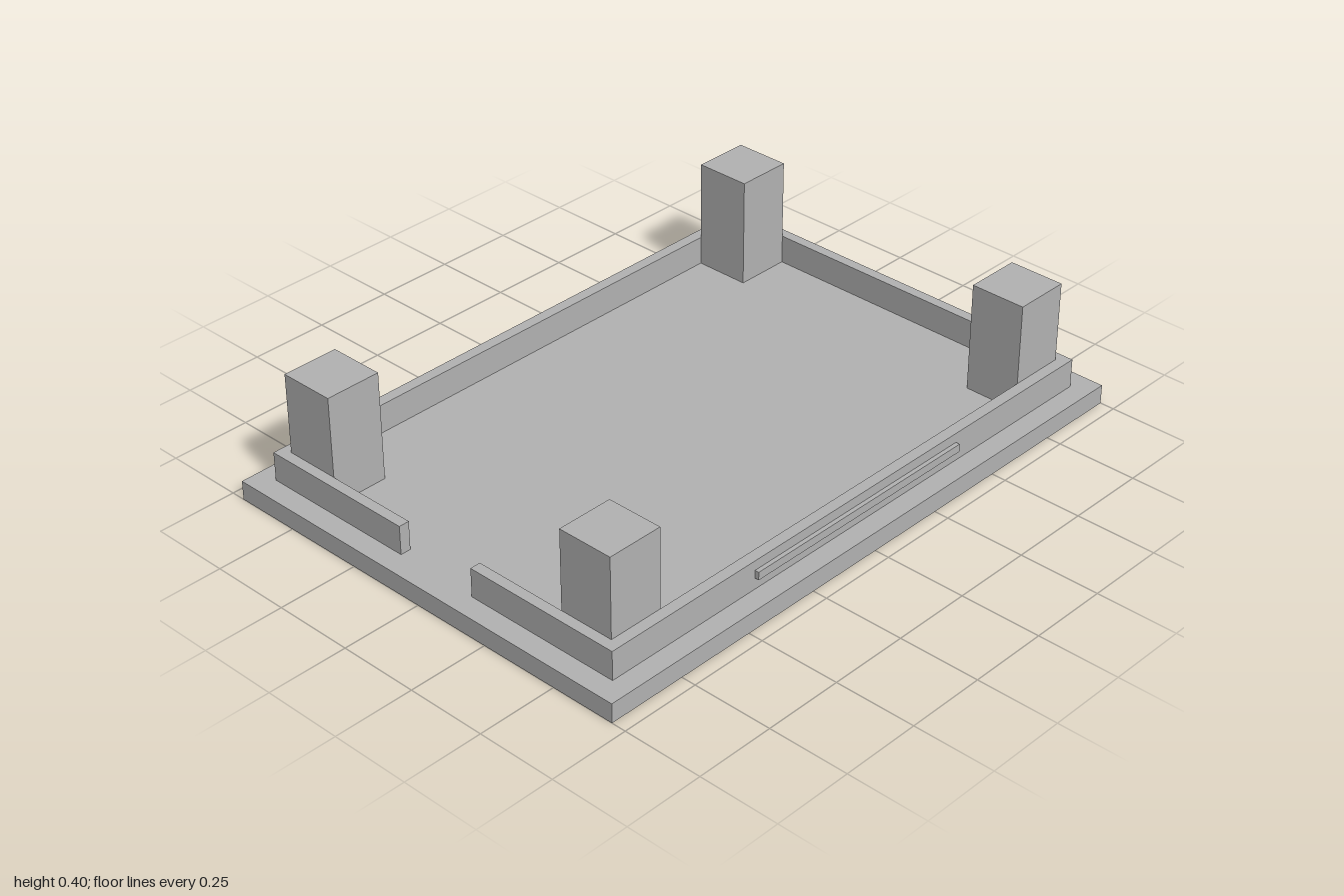
import * as THREE from 'three';

export function createModel() {
  const model = new THREE.Group();
  model.name = 'walledPlatform';
  const stone = new THREE.MeshStandardMaterial({ color: 0xb2b2b2 });
  stone.name = 'stone grey';

  // Box given by its minimum and maximum on each axis
  function block(name, [x0, x1], [y0, y1], [z0, z1]) {
    const mesh = new THREE.Mesh(new THREE.BoxGeometry(x1 - x0, y1 - y0, z1 - z0), stone);
    mesh.position.set((x0 + x1) / 2, (y0 + y1) / 2, (z0 + z1) / 2);
    mesh.name = name;
    model.add(mesh);
  }
  // Range between two distances on one side of the centre
  const span = (side, near, far) => (side > 0 ? [near, far] : [-far, -near]);

  const floorY = 0.06, wallY = [floorY, 0.15];
  const outX = 0.933, inX = 0.9, outZ = 0.642, inZ = 0.607;

  block('base', [-1, 1], [0, floorY], [-0.705, 0.705]);

  // Unbroken wall on the left
  block('leftWall', [inX, outX], wallY, [-inZ, inZ]);

  for (const sz of [1, -1]) {
    const end = sz > 0 ? 'front' : 'back';
    block(end + 'Wall', [-outX, outX], wallY, span(sz, inZ, outZ));
    // Raised trim strip on the outer face
    block(end + 'Trim', [-0.41, 0.41], [0.095, 0.12], span(sz, outZ, 0.655));
    // Right wall in two halves, leaving the entrance gap
    block(end + 'RightWall', [-outX, -inX], wallY, span(sz, 0.135, inZ));
    // Corner posts
    for (const sx of [1, -1]) {
      block(end + (sx > 0 ? 'Left' : 'Right') + 'Post',
        span(sx, 0.724, inX), [floorY, 0.4], span(sz, 0.432, inZ));
    }
  }
  return model;
}
